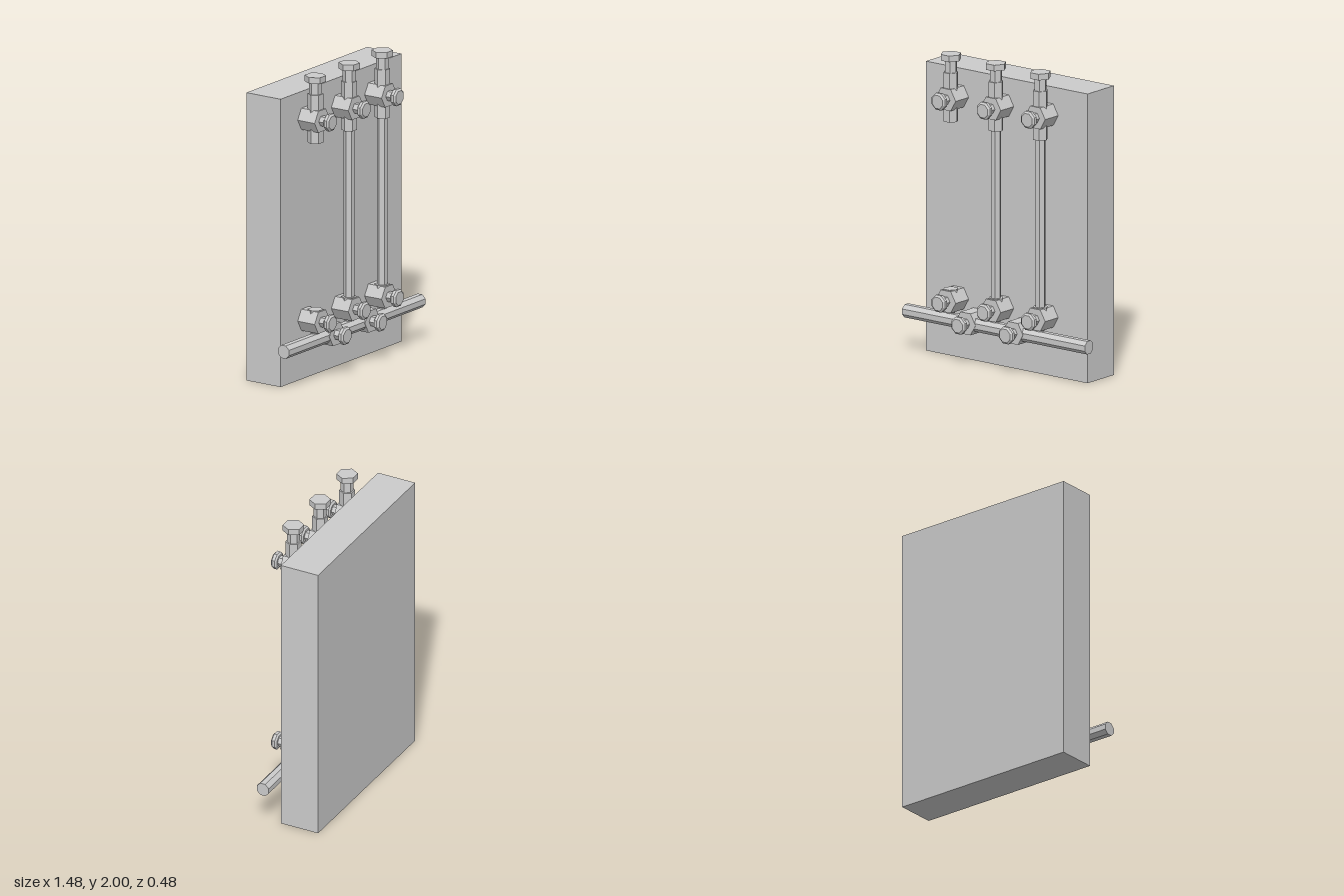
import * as THREE from 'three';

export function createModel() {
  const model = new THREE.Group();
  model.name = 'valvePanel';
  const mat = new THREE.MeshStandardMaterial({ color: 0xcccccc, flatShading: true });

  const add = (parent, name, geo, x, y, z) => {
    const m = new THREE.Mesh(geo, mat);
    m.name = name;
    m.position.set(x, y, z);
    parent.add(m);
    return m;
  };

  // Hexagonal bar with corners on +-x, standing on y or lying along z
  const hex = (r, len, alongZ = false) => {
    const g = new THREE.CylinderGeometry(r, r, len, 6, 1, false, Math.PI / 2);
    return alongZ ? g.rotateX(Math.PI / 2) : g;
  };
  // Upright hexagonal bar between two heights
  const upright = (parent, name, r, y0, y1, x, z = 0.105) =>
    add(parent, name, hex(r, y1 - y0), x, (y0 + y1) / 2, z);

  // Eight-sided handwheel with bevelled rims, turned around z
  const knobProfile = [[0, 0], [0.046, 0], [0.059, 0.01], [0.059, 0.03], [0.046, 0.041], [0, 0.041]]
    .map(([r, h]) => new THREE.Vector2(r, h));
  const knobGeo = new THREE.LatheGeometry(knobProfile, 8, Math.PI / 8).rotateX(Math.PI / 2);

  // Valve: hexagonal body on the panel, spindle and handwheel
  const addValve = (name, x, y) => {
    const valve = new THREE.Group();
    valve.name = name;
    valve.position.set(x, y, 0);
    add(valve, 'valveBody', hex(0.081, 0.135, true), 0, 0, 0.0895);
    add(valve, 'valveSpindle', hex(0.035, 0.06, true), 0, 0, 0.18);
    add(valve, 'valveKnob', knobGeo, 0, 0, 0.2);
    model.add(valve);
  };

  // Back panel
  add(model, 'panel', new THREE.BoxGeometry(1.31, 1.89, 0.266), 0.004, 0.945, -0.108);

  // Horizontal manifold pipe
  const pipe = new THREE.CylinderGeometry(0.046, 0.046, 1.48, 8, 1, false, Math.PI / 8).rotateZ(Math.PI / 2);
  add(model, 'manifoldPipe', pipe, 0, 0.265, 0.112);

  // Three vertical lines; the first has no tube between its valves
  [-0.385, -0.02, 0.34].forEach((x, i) => {
    const line = new THREE.Group();
    line.name = 'verticalLine' + (i + 1);
    upright(line, 'topCap', 0.068, 1.96, 2, x);
    upright(line, 'topNeck', 0.041, 1.87, 1.97, x);
    upright(line, 'upperCollar', 0.05, 1.56, 1.88, x);
    if (i > 0) upright(line, 'tube', 0.034, 0.44, 1.57, x);
    upright(line, 'lowerCollar', 0.05, 0.4, 0.465, x);
    upright(line, 'branchPipe', 0.03, 0.27, 0.36, x);
    model.add(line);
    addValve('upperValve' + (i + 1), x, 1.71);
    addValve('lowerValve' + (i + 1), x, 0.39);
  });

  // Two valves on the manifold
  [-0.225, 0.16].forEach((x, i) => addValve('manifoldValve' + (i + 1), x, 0.272));

  return model;
}
